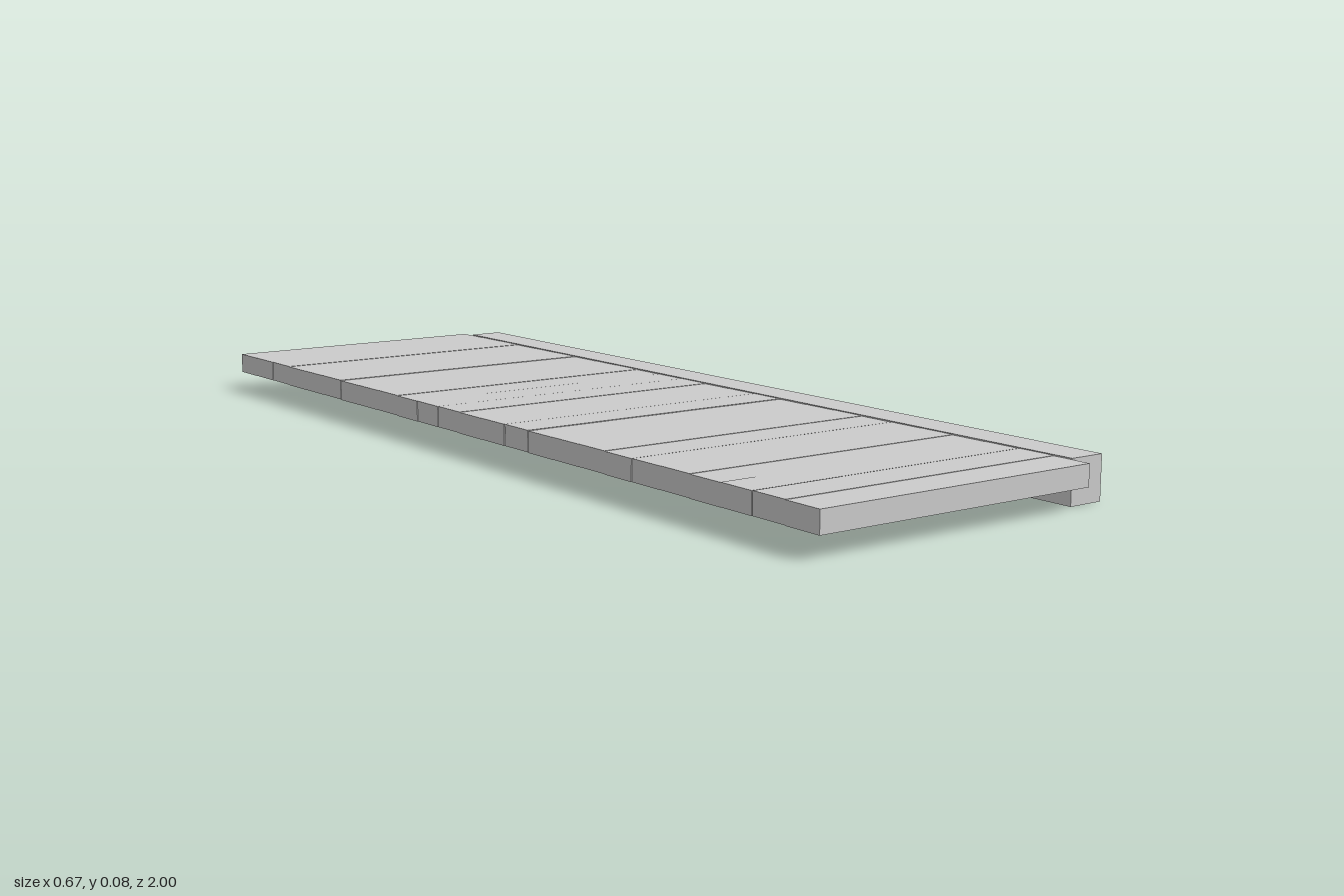
import * as THREE from 'three';

const material = new THREE.MeshStandardMaterial({ color: 0xcccccc, flatShading: true });

// Box given by its lower and upper limits on each axis
function slab(name, [x0, x1], [y0, y1], [z0, z1]) {
  const mesh = new THREE.Mesh(new THREE.BoxGeometry(x1 - x0, y1 - y0, z1 - z0), material);
  mesh.name = name;
  mesh.position.set((x0 + x1) / 2, (y0 + y1) / 2, (z0 + z1) / 2);
  return mesh;
}

export function createModel() {
  const model = new THREE.Group();
  model.name = 'plankDeck';

  // Crosswise planks, butted together with hairline joints between some of them
  const planks = new THREE.Group();
  planks.name = 'planks';
  const count = 25, pitch = 2 / count;
  const openJoints = [2, 6, 10, 11, 14, 15, 19, 23];
  const gap = (i) => (openJoints.includes(i) ? 0.0012 : 0);
  for (let i = 0; i < count; i++) {
    const lift = 0.0004 * ((i * 7) % 3 - 1);
    planks.add(slab('plank', [-0.337, 0.262], [0.041 + lift, 0.082 + lift],
      [-1 + i * pitch + gap(i), -1 + (i + 1) * pitch - gap(i + 1)]));
  }
  model.add(planks);

  // Edge beam along the left side, slightly shorter than the deck
  model.add(slab('edgeBeam', [0.262, 0.336], [0, 0.084], [-0.962, 0.962]));

  return model;
}
